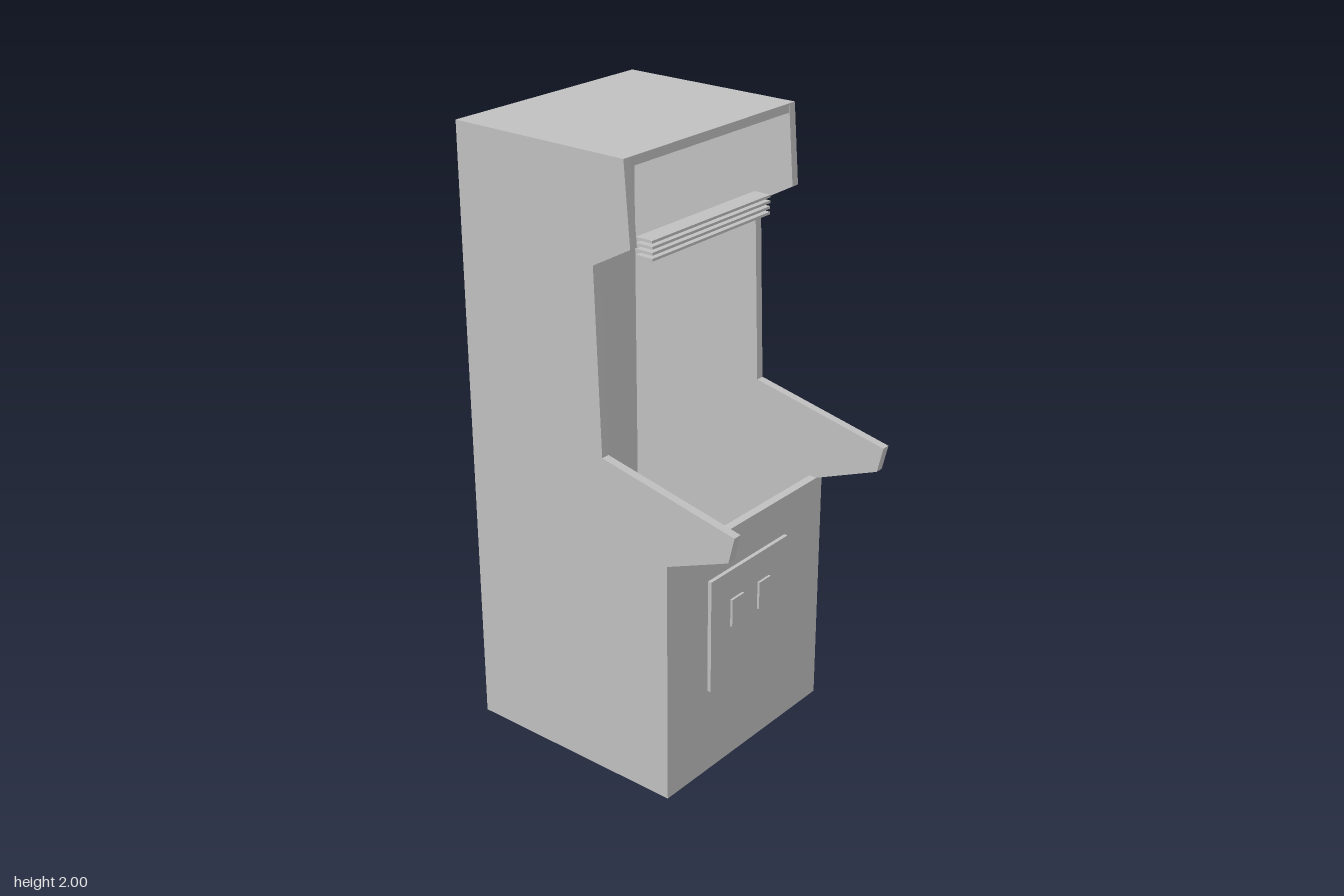
import * as THREE from 'three';

export function createModel() {
  const model = new THREE.Group();
  model.name = 'arcadeCabinet';
  const grey = new THREE.MeshStandardMaterial({ color: 0xc0c0c0 });
  grey.name = 'plainGrey';

  const W = 0.388; // half width of the cabinet
  const T = 0.028; // board thickness
  const inner = W - T;

  // Adds a box given by its min and max on each axis
  function board(name, [x0, x1], [y0, y1], [z0, z1]) {
    const mesh = new THREE.Mesh(new THREE.BoxGeometry(x1 - x0, y1 - y0, z1 - z0), grey);
    mesh.position.set((x0 + x1) / 2, (y0 + y1) / 2, (z0 + z1) / 2);
    mesh.name = name;
    model.add(mesh);
  }

  // Side panels, profile in (z, y)
  const profile = [
    [-0.51, 0], [0.267, 0], [0.267, 0.815], [0.49, 0.905], [0.51, 0.99],
    [0.025, 1.09], [0.005, 1.675], [0.142, 1.75], [0.122, 2], [-0.51, 2],
  ];
  const shape = new THREE.Shape(profile.map(([z, y]) => new THREE.Vector2(z, y)));
  const sideGeo = new THREE.ExtrudeGeometry(shape, { depth: T, bevelEnabled: false });
  sideGeo.rotateY(-Math.PI / 2);
  for (const [name, x] of [['leftSide', W], ['rightSide', -inner]]) {
    const side = new THREE.Mesh(sideGeo, grey);
    side.position.x = x;
    side.name = name;
    model.add(side);
  }

  // Boards between the sides
  const span = [-inner, inner];
  board('backPanel', span, [0, 2], [-0.51, -0.51 + T]);
  board('topPanel', span, [2 - T, 2], [-0.51 + T, 0.122]);
  board('frontPanel', span, [0, 0.815], [0.267 - T, 0.267]);
  board('frontBatten', span, [0, 0.11], [0.22, 0.267 - T]);

  // Base runners
  board('leftRunner', [0.293, 0.338], [0, 0.045], [-0.46, 0.198]);
  board('rightRunner', [-0.338, -0.293], [0, 0.045], [-0.46, 0.198]);

  // Speaker slats under the hood
  for (let i = 0; i < 4; i++) {
    const y = 1.686 + i * 0.0175;
    board('speakerSlat' + (i + 1), [-0.275, 0.272], [y - 0.004, y + 0.004], [0.066, 0.125]);
  }

  // Coin door with two slot plates
  board('coinDoor', [-0.195, 0.191], [0.295, 0.682], [0.266, 0.28]);
  for (const x of [-0.1, 0.037]) {
    board('coinSlot', [x, x + 0.059], [0.487, 0.582], [0.279, 0.288]);
  }
  return model;
}
